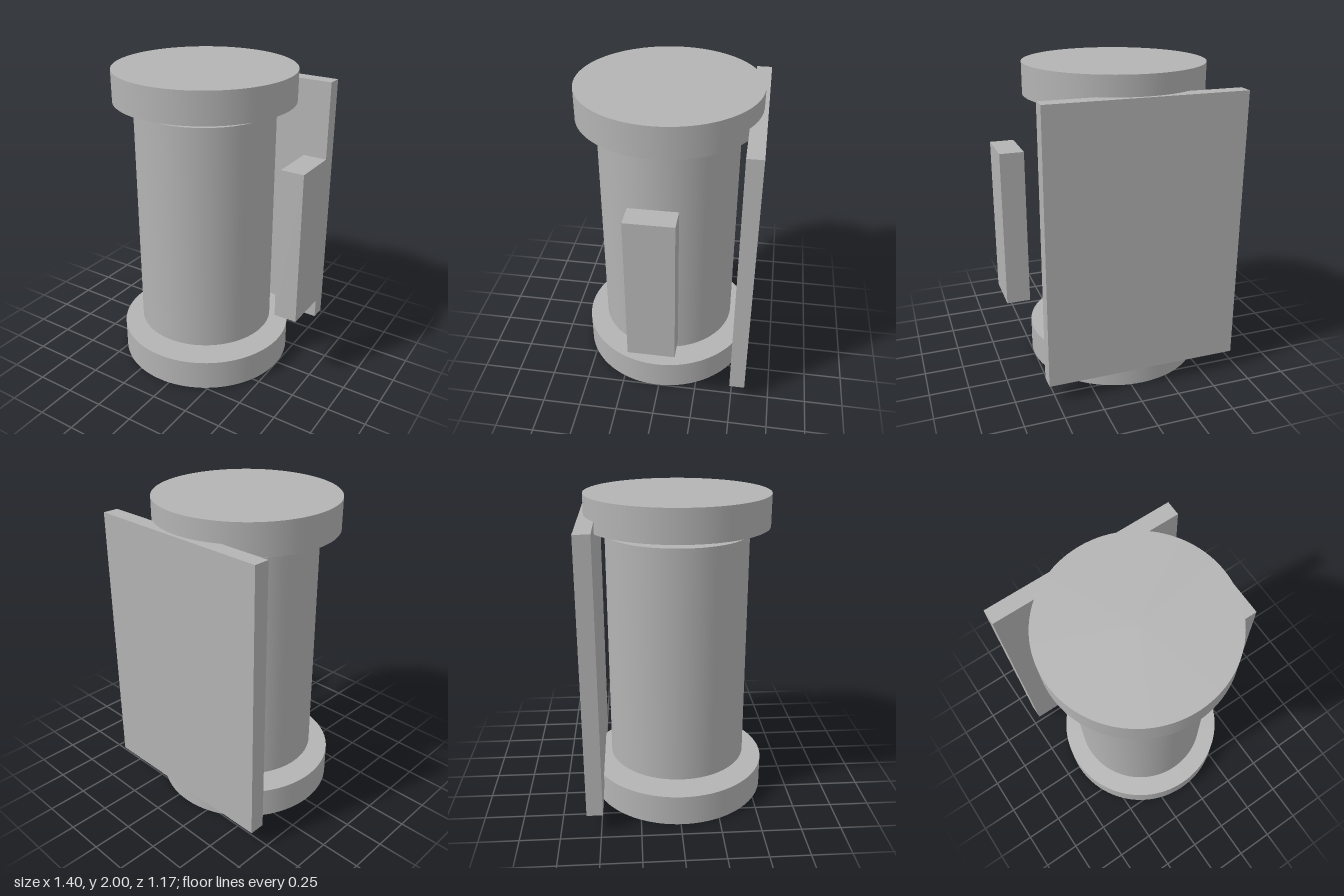
import * as THREE from 'three';

export function createModel() {
  const model = new THREE.Group();
  const grey = new THREE.MeshStandardMaterial({ color: 0xb3b3b3 });
  grey.name = 'grey';

  const AXIS_X = -0.075, AXIS_Z = 0.0125; // shared axis of drum and flanges

  const add = (name, geometry, x, y, z) => {
    const mesh = new THREE.Mesh(geometry, grey);
    mesh.name = name;
    mesh.position.set(x, y, z);
    model.add(mesh);
  };
  const disc = (name, radius, height, y) =>
    add(name, new THREE.CylinderGeometry(radius, radius, height, 96), AXIS_X, y, AXIS_Z);

  // Drum floating between two wider flanges
  disc('bottomFlange', 0.575, 0.2, 0.1);
  disc('drum', 0.45, 1.5, 1);
  disc('topFlange', 0.575, 0.2, 1.9);

  // Flat plate behind, cutting into the flanges
  add('backPlate', new THREE.BoxGeometry(1.25, 1.75, 0.1), AXIS_X, 1, -0.5375);

  // Detached block at the side
  add('sideBlock', new THREE.BoxGeometry(0.15, 1, 0.3), 0.625, 1, AXIS_Z);

  return model;
}
